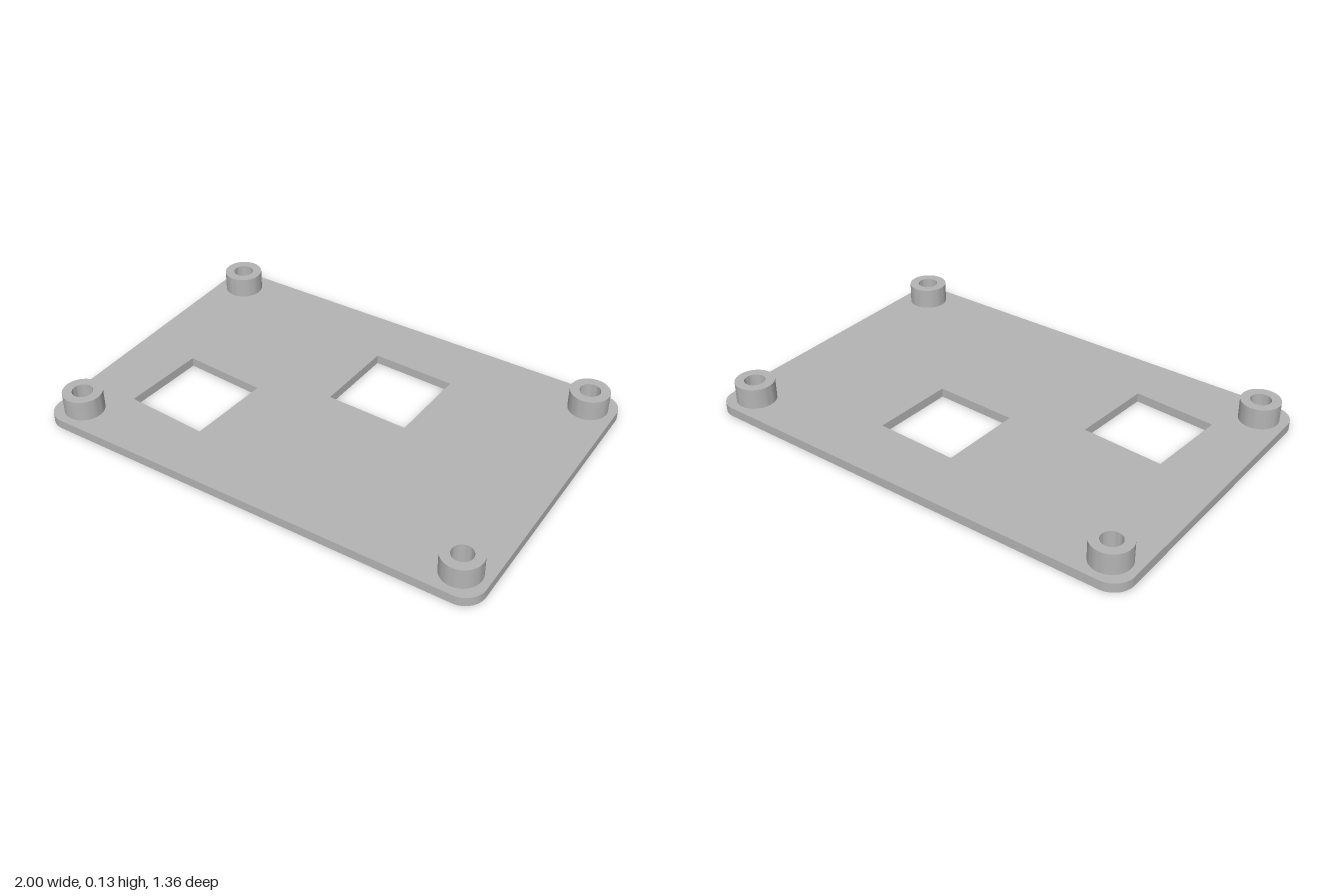
import * as THREE from 'three';
import { toCreasedNormals } from 'three/addons/utils/BufferGeometryUtils.js';

const HALF_X = 1, HALF_Z = 0.682, CORNER = 0.09;
const PLATE = 0.04, TOP = 0.13;

// Outline drawn in x/z, extruded upwards from y0 to y1
function slab(shape, y0, y1, segments) {
  const g = new THREE.ExtrudeGeometry(shape, { depth: y1 - y0, bevelEnabled: false, curveSegments: segments });
  g.rotateX(Math.PI / 2);
  g.translate(0, y1, 0);
  return toCreasedNormals(g, 0.6);
}

function roundedRect(a, b, r) {
  const s = new THREE.Shape();
  s.absarc(a - r, b - r, r, 0, Math.PI / 2);
  s.absarc(-a + r, b - r, r, Math.PI / 2, Math.PI);
  s.absarc(-a + r, -b + r, r, Math.PI, Math.PI * 1.5);
  s.absarc(a - r, -b + r, r, Math.PI * 1.5, Math.PI * 2);
  s.closePath();
  return s;
}

// Square cut-out turned by a few degrees
function squareHole(x, z, size, degrees) {
  const points = [];
  for (let i = 0; i < 4; i++) {
    const a = THREE.MathUtils.degToRad(degrees + 45 - i * 90);
    points.push(new THREE.Vector2(x + Math.cos(a) * size * Math.SQRT1_2, z + Math.sin(a) * size * Math.SQRT1_2));
  }
  return new THREE.Path(points);
}

export function createModel() {
  const model = new THREE.Group();
  model.name = 'mountingPlate';
  const grey = new THREE.MeshStandardMaterial({ color: 0xb4b4b4 });
  grey.name = 'light grey';

  // Base plate with two square windows
  const outline = roundedRect(HALF_X, HALF_Z, CORNER);
  outline.holes.push(squareHole(0.128, -0.227, 0.369, 2), squareHole(-0.556, 0.235, 0.369, 4));
  const plate = new THREE.Mesh(slab(outline, 0, PLATE, 10), grey);
  plate.name = 'plate';
  model.add(plate);

  // Hollow standoff at each corner
  const ring = new THREE.Shape().absarc(0, 0, 0.084, 0, Math.PI * 2);
  ring.holes.push(new THREE.Path().absarc(0, 0, 0.044, 0, Math.PI * 2, true));
  const standoffGeometry = slab(ring, PLATE, TOP, 32);
  for (const [sx, side] of [[1, 'Left'], [-1, 'Right']]) {
    for (const [sz, end] of [[1, 'front'], [-1, 'back']]) {
      const standoff = new THREE.Mesh(standoffGeometry, grey);
      standoff.name = `${end}${side}Standoff`;
      standoff.position.set(sx * 0.883, 0, sz * 0.564);
      model.add(standoff);
    }
  }
  return model;
}
